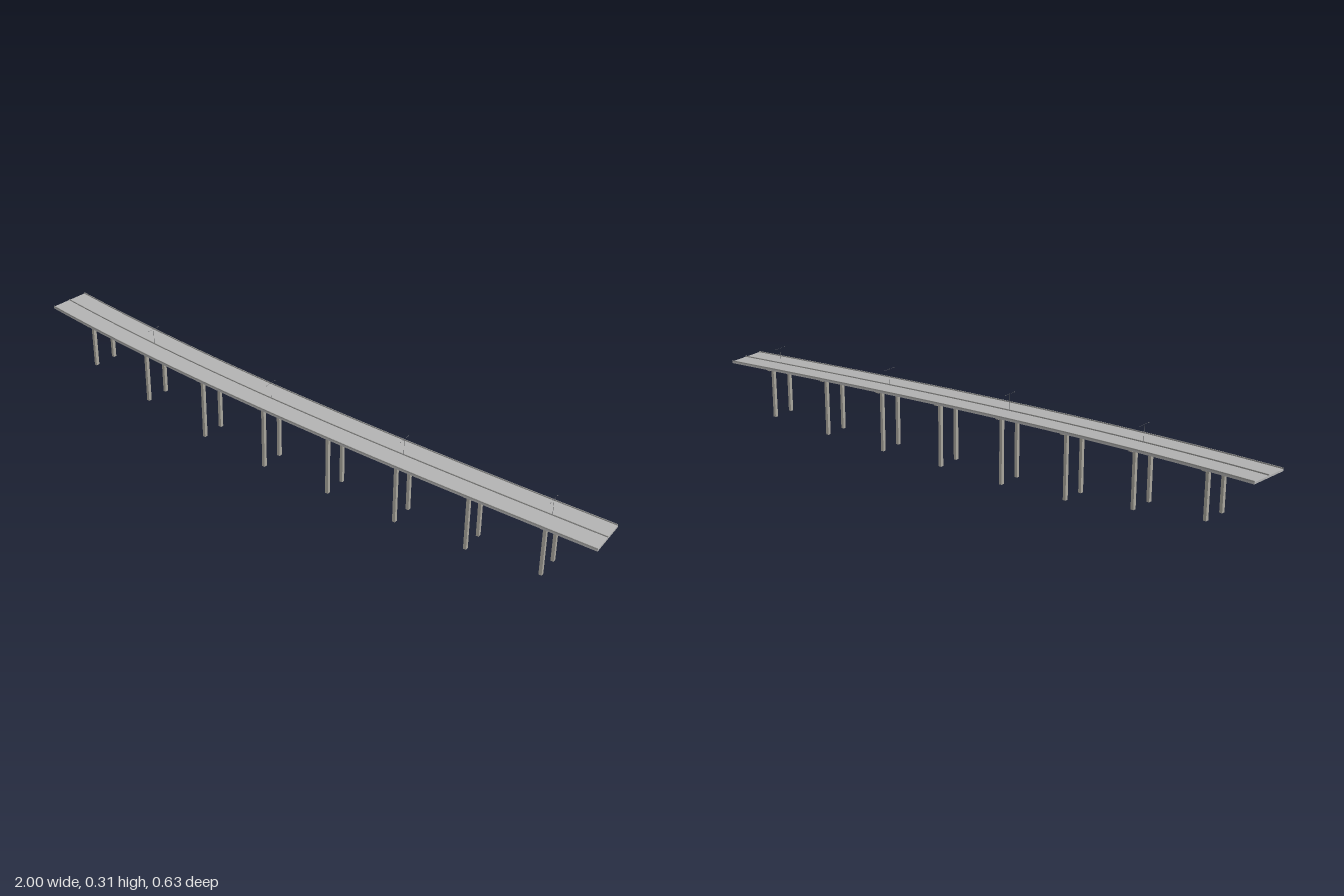
import * as THREE from 'three';
import { toCreasedNormals } from 'three/addons/utils/BufferGeometryUtils.js';

const X0 = -0.977, X1 = 0.988, SEGMENTS = 40;
const HALF_WIDTH = 0.0665, DECK = 0.006;

// Plan curve of the road, its slope, and the height of the deck underside
const planZ = x => 0.041 + 0.259 * x - 0.045 * x * x + 0.013 * x * (x * x - 1);
const slope = x => 0.246 - 0.09 * x + 0.039 * x * x;
const under = x => 0.223 - 0.041 * x;

// Sweep a rectangle (across u0..u1, up v0..v1) along the road
function sweep(u0, u1, v0, v1) {
  const pos = [], idx = [];
  const ring = [[u0, v0], [u1, v0], [u1, v1], [u0, v1]];
  for (let i = 0; i <= SEGMENTS; i++) {
    const x = X0 + (X1 - X0) * i / SEGMENTS;
    const a = Math.atan(slope(x));
    for (const [u, v] of ring) {
      pos.push(x - u * Math.sin(a), under(x) + v, planZ(x) + u * Math.cos(a));
    }
  }
  for (let i = 0; i < SEGMENTS; i++) {
    for (let j = 0; j < 4; j++) {
      const a = i * 4 + j, b = i * 4 + (j + 1) % 4, c = b + 4, d = a + 4;
      idx.push(a, d, c, a, c, b);
    }
  }
  const e = SEGMENTS * 4;
  idx.push(0, 1, 2, 0, 2, 3, e, e + 2, e + 1, e, e + 3, e + 2);
  const g = new THREE.BufferGeometry();
  g.setAttribute('position', new THREE.Float32BufferAttribute(pos, 3));
  g.setIndex(idx);
  return toCreasedNormals(g, Math.PI / 6);
}

export function createModel() {
  const model = new THREE.Group();
  model.name = 'viaduct';
  const material = (name, color) => {
    const m = new THREE.MeshStandardMaterial({ color });
    m.name = name;
    return m;
  };
  const road = material('road grey', 0xb2b2b2);
  const concrete = material('concrete', 0xa9a69d);
  const barrierGrey = material('barrier grey', 0x9c9c9a);
  const steel = material('lamp steel', 0x6a6c6e);

  const add = (parent, name, geometry, mat, x = 0, y = 0, z = 0) => {
    const mesh = new THREE.Mesh(geometry, mat);
    mesh.name = name;
    mesh.position.set(x, y, z);
    parent.add(mesh);
    return mesh;
  };
  const box = (w, h, d) => new THREE.BoxGeometry(w, h, d);

  // Group standing on the road line, turned along the road
  const station = (name, x) => {
    const g = new THREE.Group();
    g.name = name;
    g.position.set(x, 0, planZ(x));
    g.rotation.y = -Math.atan(slope(x));
    model.add(g);
    return g;
  };

  // Deck with edge barriers and median
  const W = HALF_WIDTH, T = 0.002, TOP = 0.0098;
  add(model, 'deck', sweep(-W, W, 0, DECK), road);
  add(model, 'backBarrier', sweep(-W, -W + T, DECK, TOP), barrierGrey);
  add(model, 'frontBarrier', sweep(W - T, W, DECK, TOP), barrierGrey);
  add(model, 'medianBarrier', sweep(-T / 2, T / 2, DECK, TOP), barrierGrey);

  // Piers: two columns under a cross beam, reaching down to uneven ground
  const feet = [0.1, 0.06, 0.02, 0.006, 0.005, 0, 0.003, 0.015];
  feet.forEach((foot, i) => {
    const x = -0.82 + i * 0.235;
    const y = under(x);
    const pier = station('pier', x);
    add(pier, 'crossBeam', box(0.012, 0.005, 0.124), concrete, 0, y - 0.002, 0);
    const h = y - 0.003 - foot;
    for (const side of [-1, 1]) {
      add(pier, 'column', box(0.01, h, 0.011), concrete, 0, foot + h / 2, side * 0.038);
    }

    // Double-armed lamp post in the median above every second pier
    if (i % 2 === 1) {
      const lamp = station('lampPost', x);
      const base = y + DECK, top = y + 0.061;
      add(lamp, 'post', new THREE.CylinderGeometry(0.0004, 0.0006, top - base, 8), steel,
        0, (top + base) / 2, 0);
      add(lamp, 'arms', box(0.0004, 0.0004, 0.04), steel, 0, top - 0.0004, 0);
      for (const side of [-1, 1]) {
        add(lamp, 'lampHead', box(0.0016, 0.0008, 0.005), steel, 0, top - 0.0006, side * 0.021);
      }
    }
  });

  return model;
}
